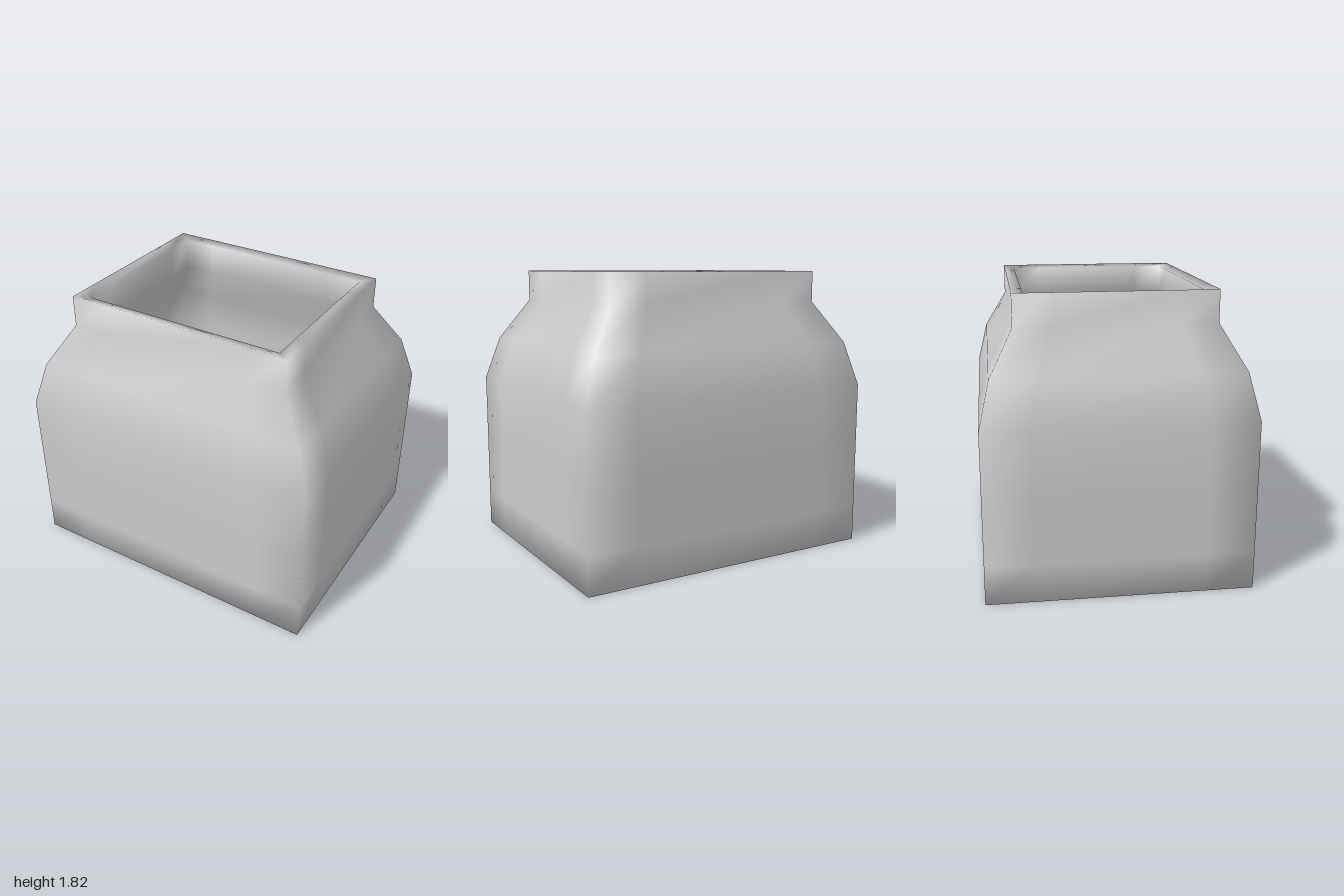
import * as THREE from 'three';
import { mergeVertices } from 'three/addons/utils/BufferGeometryUtils.js';

// Rectangular cross-section: square corners plus two support points per side
function ring([hx, hz, y, cx = 0]) {
  const sx = hx * 0.68, sz = hz * 0.64;
  return [
    [hx, hz], [hx, sz], [hx, -sz],
    [hx, -hz], [sx, -hz], [-sx, -hz],
    [-hx, -hz], [-hx, -sz], [-hx, sz],
    [-hx, hz], [-sx, hz], [sx, hz],
  ].map(([x, z]) => [x + cx, y, z]);
}

// Skin the rings into one smooth shell
function loft(sections) {
  const rings = sections.map(ring);
  const n = rings[0].length;
  const index = [];
  for (let i = 0; i < rings.length - 1; i++) {
    for (let j = 0; j < n; j++) {
      const a = i * n + j, b = i * n + (j + 1) % n;
      index.push(a, b, b + n, a, b + n, a + n);
    }
  }
  const geometry = new THREE.BufferGeometry();
  geometry.setAttribute('position', new THREE.Float32BufferAttribute(rings.flat(2), 3));
  geometry.setIndex(index);
  const merged = mergeVertices(geometry);
  merged.computeVertexNormals();
  return merged;
}

export function createModel() {
  const group = new THREE.Group();
  group.name = 'squareJar';

  // Half width, half depth, height, sideways offset
  const sections = [
    // underside
    [0, 0, 0], [0.76, 0.58, 0],
    // outer walls, shoulder and neck
    [1, 0.82, 0], [1, 0.82, 0.24], [1, 0.82, 0.65], [1, 0.82, 1.07],
    [0.917, 0.755, 1.35, -0.005], [0.75, 0.61, 1.615, -0.01], [0.75, 0.61, 1.815, -0.01],
    // rim, then down the inner walls
    [0.668, 0.54, 1.8, -0.013], [0.668, 0.54, 1.6, -0.013], [0.84, 0.68, 1.32, -0.005],
    [0.92, 0.74, 1.05], [0.92, 0.74, 0.65], [0.92, 0.74, 0.3], [0.92, 0.74, 0.08],
    // inner floor
    [0.7, 0.52, 0.08], [0, 0, 0.08],
  ];
  const jar = new THREE.Mesh(
    loft(sections),
    new THREE.MeshStandardMaterial({ color: 0xcccccc })
  );
  jar.name = 'jarBody';
  group.add(jar);
  return group;
}
